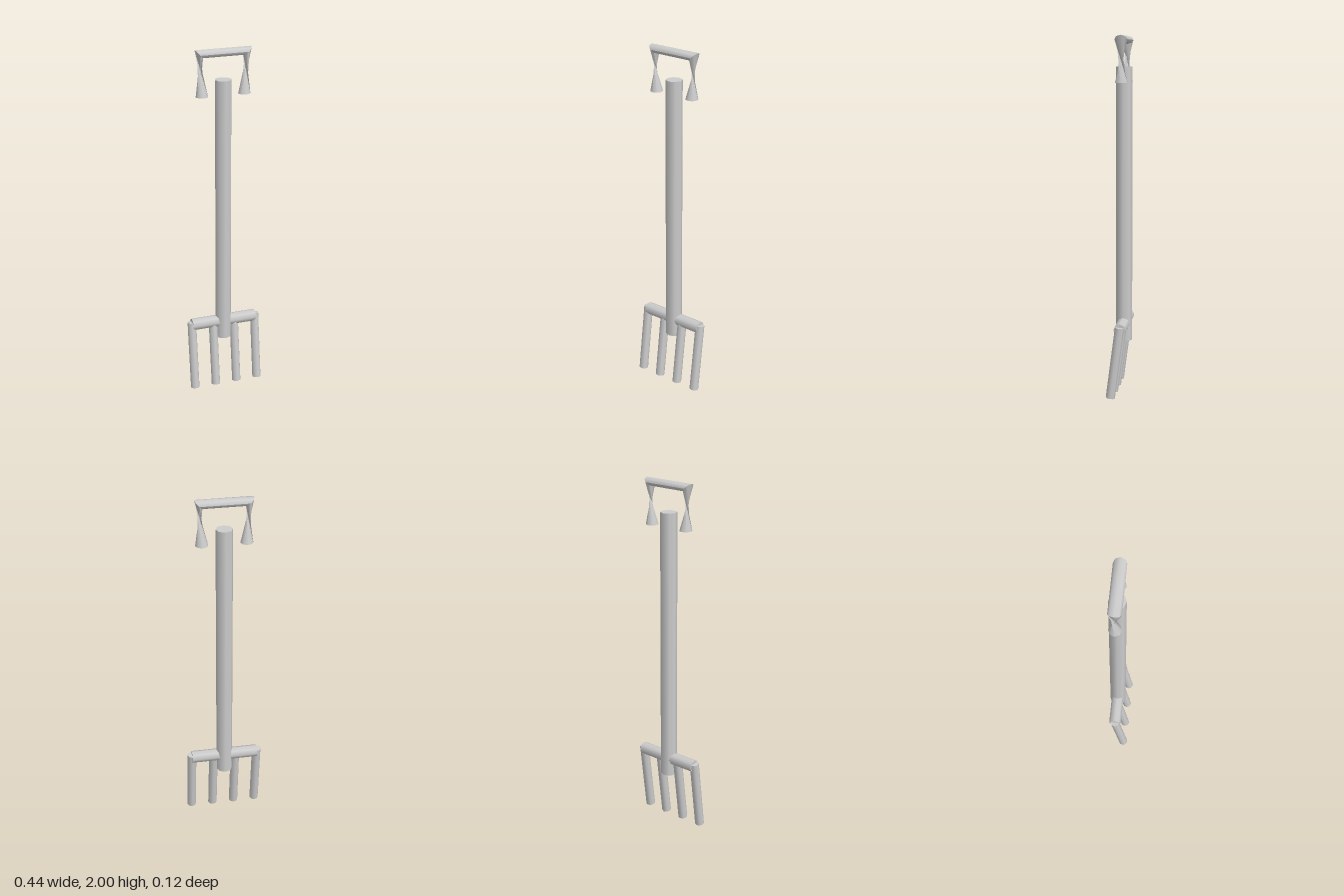
import * as THREE from 'three';
import { toCreasedNormals } from 'three/addons/utils/BufferGeometryUtils.js';

const SIDES = 8;
const Z = -0.017; // depth of the tool's main axis
const steel = new THREE.MeshStandardMaterial({ color: 0xcccccc });
steel.name = 'lightGrey';

// Eight-sided rod between two points
function rod(name, from, to, radius) {
  const a = new THREE.Vector3(...from);
  const b = new THREE.Vector3(...to);
  const dir = b.clone().sub(a);
  const mesh = new THREE.Mesh(new THREE.CylinderGeometry(radius, radius, dir.length(), SIDES), steel);
  mesh.name = name;
  mesh.position.copy(a).add(b).multiplyScalar(0.5);
  mesh.quaternion.setFromUnitVectors(new THREE.Vector3(0, 1, 0), dir.normalize());
  return mesh;
}

// Skin over a row of rings, closed at both ends
function loft(rings) {
  const pos = [];
  const tri = (...pts) => pts.forEach(p => pos.push(p.x, p.y, p.z));
  for (let r = 0; r < rings.length - 1; r++) {
    for (let i = 0; i < SIDES; i++) {
      const j = (i + 1) % SIDES;
      const [a, b] = [rings[r], rings[r + 1]];
      tri(a[i], a[j], b[j]);
      tri(a[i], b[j], b[i]);
    }
  }
  const [first, last] = [rings[0], rings[rings.length - 1]];
  for (let i = 1; i < SIDES - 1; i++) {
    tri(first[0], first[i + 1], first[i]);
    tri(last[0], last[i], last[i + 1]);
  }
  const geo = new THREE.BufferGeometry();
  geo.setAttribute('position', new THREE.Float32BufferAttribute(pos, 3));
  return toCreasedNormals(geo, 0.9);
}

// Ring around (x, y): (ux, uy) is its in-plane radius, rz its depth radius
function ring(x, y, ux, uy, rz) {
  return Array.from({ length: SIDES }, (_, i) => {
    const t = (i / SIDES) * Math.PI * 2;
    const c = Math.cos(t);
    return new THREE.Vector3(x + ux * c, y + uy * c, Z + rz * Math.sin(t));
  });
}

export function createModel() {
  const group = new THREE.Group();
  group.name = 'gardenFork';

  group.add(rod('shaft', [0, 0.29, Z], [0, 1.83, Z], 0.0465));
  group.add(rod('crossbar', [-0.192, 0.39, Z], [0.192, 0.39, Z], 0.035));

  // Tines lean forward toward their tips
  for (const x of [-0.192, -0.064, 0.064, 0.192]) {
    group.add(rod('tine', [x, 0.004, 0.035], [x, 0.405, Z], 0.026));
  }

  // Grip: mitred corners, with each arm twisted half a turn into a pinched waist
  const grip = new THREE.Mesh(loft([
    ring(-0.12, 1.745, 0.035, 0, -0.035),
    ring(-0.135, 1.977, -0.022, 0.023, 0.035),
    ring(0.135, 1.977, 0.022, 0.023, 0.035),
    ring(0.12, 1.745, -0.035, 0, -0.035),
  ]), steel);
  grip.name = 'gripHandle';
  group.add(grip);

  return group;
}
